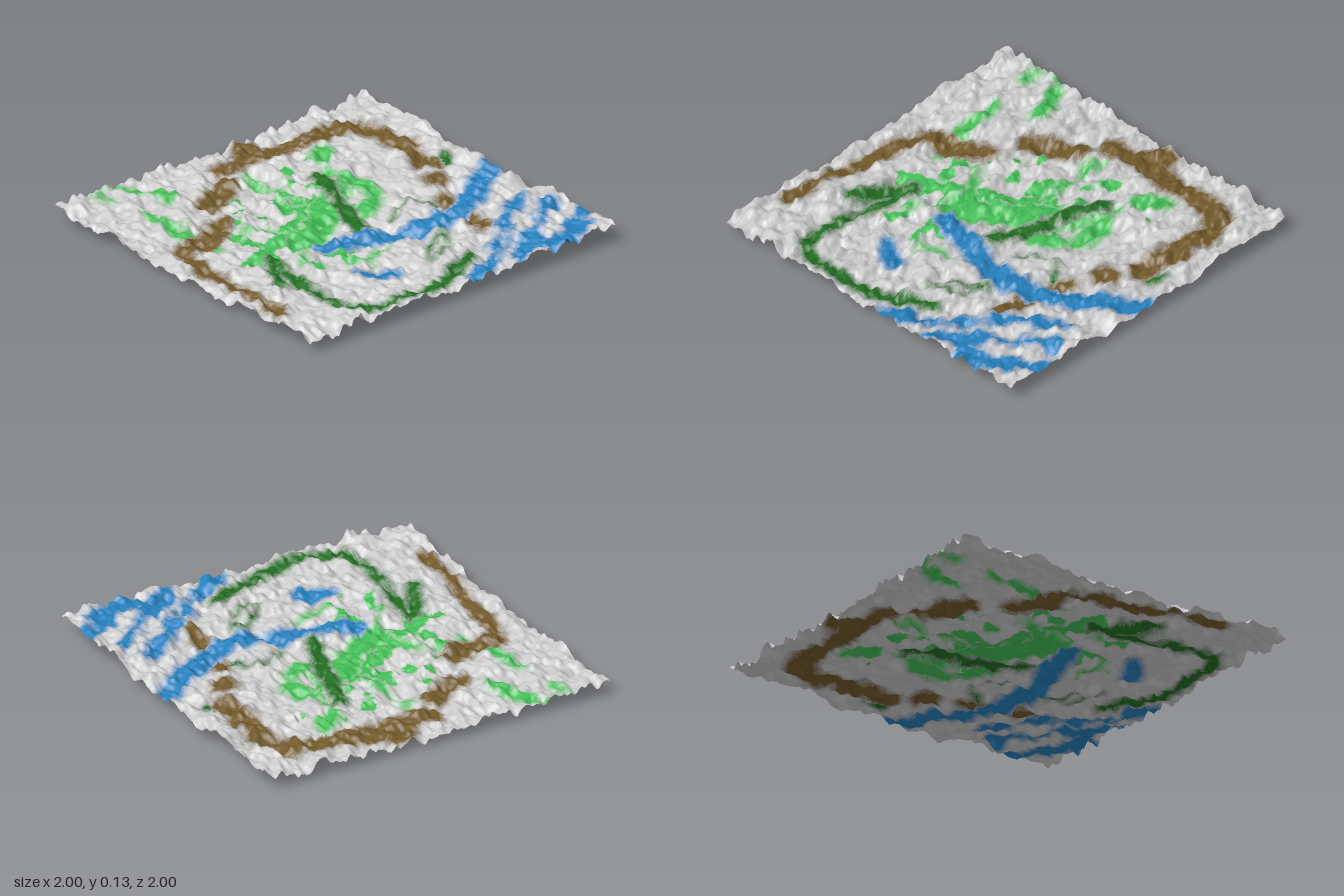
import * as THREE from 'three';

const N = 200; // cells per side
const HEIGHT = 0.132;
const { smoothstep, lerp, clamp } = THREE.MathUtils;

// Seeded value noise
function hash(i, j, seed) {
  let h = Math.imul(i, 374761393) ^ Math.imul(j, 668265263) ^ Math.imul(seed, 974634777);
  h = Math.imul(h ^ (h >>> 13), 1274126177);
  return ((h ^ (h >>> 16)) >>> 0) / 4294967295;
}
function noise(x, z, seed) {
  const i = Math.floor(x), j = Math.floor(z);
  const u = smoothstep(x - i, 0, 1), v = smoothstep(z - j, 0, 1);
  return lerp(
    lerp(hash(i, j, seed), hash(i + 1, j, seed), u),
    lerp(hash(i, j + 1, seed), hash(i + 1, j + 1, seed), u), v) - 0.5;
}

// Shallow bowl, highest at the back left, with blocky ledges that run mostly along x
function groundHeight(x, z) {
  return 0.012 * (x * x + z * z) + 0.006 * (x - z)
    + 0.018 * noise(x * 4, z * 5, 1)
    + 0.032 * noise(x * 9, z * 13, 2)
    + 0.026 * noise(x * 14, z * 27, 3)
    + 0.014 * noise(x * 28, z * 48, 4)
    + 0.010 * hash(Math.floor(x * 20), Math.floor(z * 33), 5);
}

// A brush stroke: a smooth curve through a few x, z points
function stroke(radius, ...coords) {
  const points = [];
  for (let k = 0; k < coords.length; k += 2) points.push(new THREE.Vector2(coords[k], coords[k + 1]));
  return { radius, points: new THREE.SplineCurve(points).getPoints(points.length > 2 ? 14 : 1) };
}

// Broad meadow, broken into patches by its ragged border
const meadow = { name: 'meadow', color: 0x43bd57, ragged: 0.55, strokes: [
  stroke(0.17, -0.32, -0.12, 0.12, 0.35),
] };

// Tufts and trails of grass
const grass = { name: 'grass', color: 0x43bd57, ragged: 0.07, strokes: [
  stroke(0.06, -0.45, -0.32, -0.15, -0.38, 0, -0.2),
  stroke(0.1, -0.25, -0.2, -0.05, 0.05, 0.1, 0.28),
  stroke(0.05, -0.62, 0.02, -0.3, 0),
  stroke(0.04, -0.2, 0.42, 0.05, 0.28, 0.28, 0.45),
  stroke(0.03, 0.4, 0, 0.44, 0.22),
  stroke(0.05, -0.7, -0.5, -0.54, -0.36),
  stroke(0.045, -1, 0.6, -0.72, 0.49),
  stroke(0.03, -0.64, 0.72, -0.1, 0.64),
  stroke(0.04, -0.96, 0.75, -0.86, 0.75),
] };

// Dark woodland belts and a thin leaf-shaped ring
const forest = { name: 'forest', color: 0x226f22, ragged: 0.03, strokes: [
  stroke(0.05, 0.77, -0.24, 0.92, 0.2, 0.82, 0.6, 0.15, 0.53),
  stroke(0.055, 0.2, 0.59, 0.4, 0.69),
  stroke(0.06, -0.44, -0.25, 0.14, -0.04),
  stroke(0.024, 0.18, -0.5, 0.08, -0.4, 0.16, -0.22),
  stroke(0.019, 0.47, -0.3, 0.61, -0.22, 0.65, -0.07, 0.54, -0.16, 0.47, -0.3),
  stroke(0.045, -0.2, -0.87, -0.16, -0.85),
] };

// Dirt track around the edge, with gaps
const path = { name: 'path', color: 0x735a2a, ragged: 0.045, strokes: [
  stroke(0.08, -0.18, -0.76, -0.72, -0.76, -0.8, -0.35, -0.8, 0.08),
  stroke(0.075, -0.93, -0.18, -0.85, -0.12),
  stroke(0.075, -0.66, 0.17, -0.54, 0.38),
  stroke(0.075, -0.33, 0.49, -0.26, 0.6, -0.24, 0.78),
  stroke(0.05, -0.24, 0.81, 0.1, 0.87, 0.63, 0.91),
  stroke(0.075, -0.04, -0.68, 0, -0.66),
  stroke(0.055, 0.14, -0.58, 0.57, -0.5),
] };

// River and pond
const river = { name: 'river', color: 0x2580bd, ragged: 0.03, strokes: [
  stroke(0.075, 0.03, -1, 0.3, -0.57, 0.35, -0.3, 0.2, 0.24),
  stroke(0.06, 0.57, 0.29, 0.64, 0.18),
] };

// Parallel broken streams in the corner
const streams = { name: 'streams', color: 0x2580bd, ragged: 0.09, strokes: [
  stroke(0.05, 0.88, -0.87, 0.96, -0.62),
] };
for (let k = 0; k < 3; k++)
  streams.strokes.push(stroke(0.055, 0.41 + 0.17 * k, -0.84 - 0.07 * k, 1, -0.12 - 0.25 * k));

// Later layers cover earlier ones
const layers = [meadow, grass, forest, path, river, streams];

function segmentDistance(x, z, a, b) {
  const dx = b.x - a.x, dz = b.y - a.y;
  const t = clamp(((x - a.x) * dx + (z - a.y) * dz) / (dx * dx + dz * dz), 0, 1);
  return Math.hypot(x - a.x - t * dx, z - a.y - t * dz);
}

// How strongly a layer covers a point, from 0 to 1
function coverage(layer, x, z) {
  let d = Infinity;
  for (const { radius, points } of layer.strokes)
    for (let k = 1; k < points.length; k++)
      d = Math.min(d, segmentDistance(x, z, points[k - 1], points[k]) - radius);
  d += layer.ragged * (noise(x * 10, z * 12, 7) + 0.4 * noise(x * 24, z * 30, 8));
  return 1 - smoothstep(d, -0.04, 0.03);
}

export function createModel() {
  const terrain = new THREE.Group();
  terrain.name = 'terrain';

  // One height grid shared by all ground covers
  const sheet = new THREE.PlaneGeometry(2, 2, N, N).rotateX(-Math.PI / 2);
  const pos = sheet.attributes.position;
  let low = Infinity, high = -Infinity;
  for (let i = 0; i < pos.count; i++) {
    const y = groundHeight(pos.getX(i), pos.getZ(i));
    pos.setY(i, y);
    low = Math.min(low, y);
    high = Math.max(high, y);
  }
  for (let i = 0; i < pos.count; i++) pos.setY(i, (pos.getY(i) - low) / (high - low) * HEIGHT);
  sheet.computeVertexNormals();

  // Sort the cells by cover; soft borders use steps of blended colour
  const rock = new THREE.Color(0xcccccc);
  const covers = new Map();
  const index = sheet.index.array;
  const steps = ['', 'Fringe', 'OuterEdge', 'Edge', 'InnerEdge', ''];
  for (let c = 0; c < index.length; c += 6) {
    const a = index[c], b = index[c + 4]; // opposite corners of the cell
    const x = (pos.getX(a) + pos.getX(b)) / 2, z = (pos.getZ(a) + pos.getZ(b)) / 2;
    let name = 'rock', color = rock;
    for (const layer of layers) {
      const step = Math.round(coverage(layer, x, z) * 5);
      if (!step || (step < 3 && color !== rock)) continue; // faint fringes show on bare rock only
      name = layer.name + steps[step];
      color = rock.clone().lerp(new THREE.Color(layer.color), step / 5);
    }
    if (!covers.has(name)) covers.set(name, { color, faces: [] });
    covers.get(name).faces.push(...index.slice(c, c + 6));
  }

  for (const [name, { color, faces }] of covers) {
    const geometry = new THREE.BufferGeometry();
    geometry.setAttribute('position', pos);
    geometry.setAttribute('normal', sheet.attributes.normal);
    geometry.setIndex(faces);
    const mesh = new THREE.Mesh(geometry, new THREE.MeshStandardMaterial({ color, side: THREE.DoubleSide }));
    mesh.name = name;
    terrain.add(mesh);
  }
  return terrain;
}
